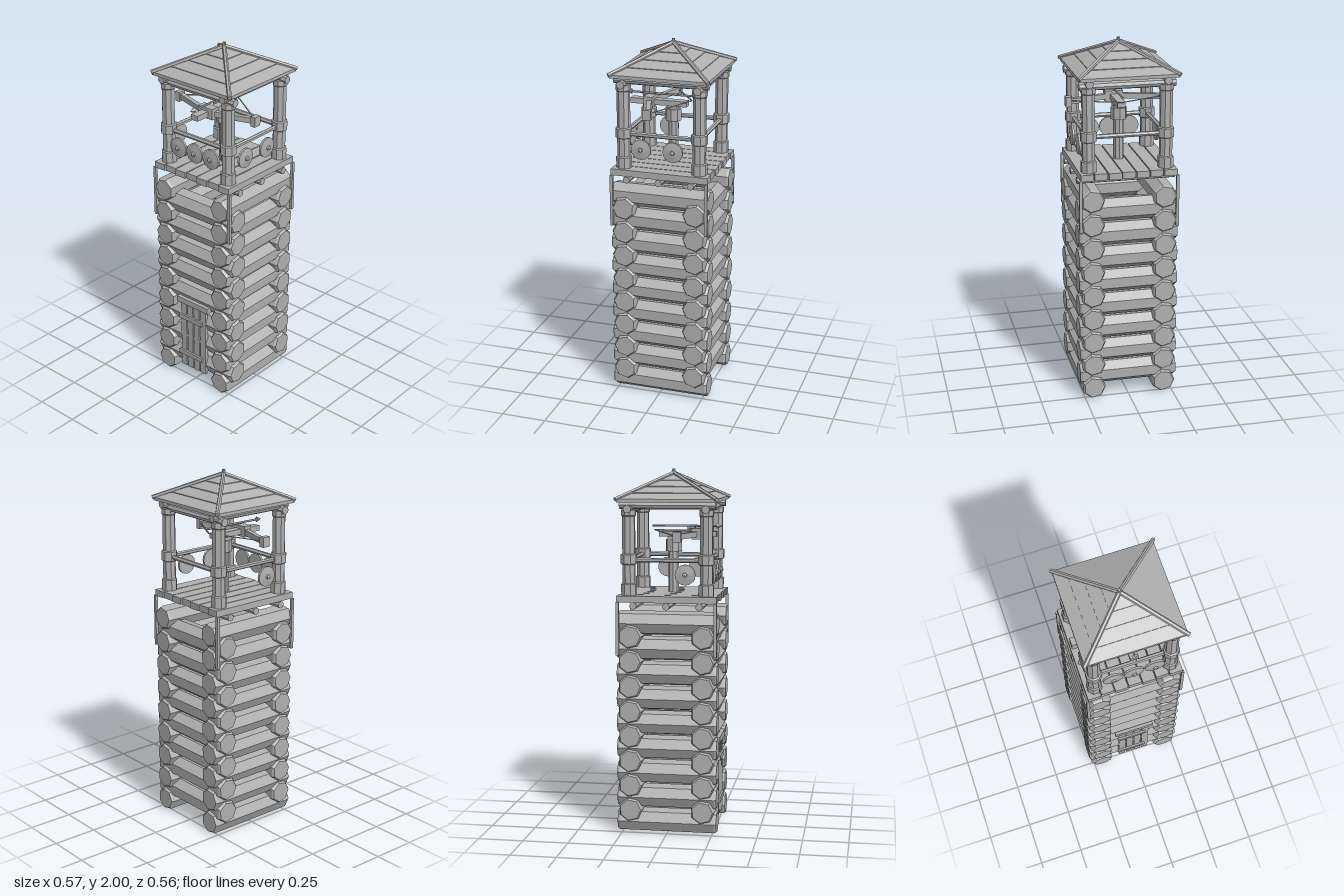
import * as THREE from 'three';

const wood = new THREE.MeshStandardMaterial({ color: 0xb0b0b0, flatShading: true, side: THREE.DoubleSide });
wood.name = 'grey wood';

function add(parent, name, geometry, x = 0, y = 0, z = 0) {
  const m = new THREE.Mesh(geometry, wood);
  m.name = name;
  m.position.set(x, y, z);
  parent.add(m);
  return m;
}
const box = (p, name, w, h, d, x, y, z) => add(p, name, new THREE.BoxGeometry(w, h, d), x, y, z);

// Straight bar between two points
function bar(p, name, a, b, r, sides = 6) {
  const A = new THREE.Vector3(...a), B = new THREE.Vector3(...b);
  const m = add(p, name, new THREE.CylinderGeometry(r, r, A.distanceTo(B), sides));
  m.position.copy(A).add(B).multiplyScalar(0.5);
  m.quaternion.setFromUnitVectors(new THREE.Vector3(0, 1, 0), B.sub(A).normalize());
  return m;
}

// Log with chamfered ends, lying along z
function logGeometry(r, length, sides) {
  const h = length / 2;
  const pts = [[0, -h], [r - 0.008, -h], [r, -h + 0.012], [r, h - 0.012], [r - 0.008, h], [0, h]];
  return new THREE.LatheGeometry(pts.map(q => new THREE.Vector2(...q)), sides).rotateX(Math.PI / 2);
}

function buildWalls(g) {
  const walls = new THREE.Group();
  walls.name = 'logWalls';
  const alongZ = logGeometry(0.067, 0.55, 7).rotateZ(0.2);
  const alongX = alongZ.clone().rotateY(Math.PI / 2);
  const step = 0.138;
  for (const s of [-1, 1]) {
    for (let i = 0; i < 9; i++) add(walls, 'sideLog', alongZ, s * 0.2, 0.068 + i * step, 0);
    for (let i = 0; i < 8; i++) add(walls, 'frontBackLog', alongX, 0, 0.137 + i * step, s * 0.2);
  }
  g.add(walls);
}

function buildDoor(g) {
  const door = new THREE.Group();
  door.name = 'door';
  for (let i = 0; i < 4; i++) box(door, 'doorPlank', 0.04, 0.42, 0.02, -0.072 + i * 0.048, 0.285, 0.258);
  for (const y of [0.165, 0.405]) box(door, 'doorCrossbar', 0.17, 0.026, 0.014, -0.015, y, 0.272);
  box(door, 'lintel', 0.23, 0.034, 0.04, 0, 0.512, 0.258);
  g.add(door);
}

function buildPlatform(g) {
  const deck = new THREE.Group();
  deck.name = 'platform';
  for (let i = 0; i < 7; i++) {
    box(deck, 'deckPlank', 0.071, 0.036, 0.545 - (i % 2) * 0.012, (i - 3) * 0.0765, 1.306, 0);
  }
  for (const z of [-0.18, 0, 0.18]) bar(deck, 'deckBeam', [-0.272, 1.27, z], [0.272, 1.27, z], 0.02, 8);
  // Thin corner struts hanging below the deck
  for (const x of [-0.267, 0.267]) for (const z of [-0.267, 0.267]) {
    box(deck, 'cornerStrut', 0.016, 0.29, 0.016, x, 1.145, z);
  }
  g.add(deck);
}

function buildFrame(g) {
  const frame = new THREE.Group();
  frame.name = 'upperFrame';
  const profile = [[0, 1.325], [0.043, 1.325], [0.043, 1.385], [0.036, 1.39], [0.036, 1.49], [0.045, 1.495],
    [0.045, 1.545], [0.036, 1.55], [0.036, 1.75], [0.041, 1.755], [0.041, 1.785], [0, 1.785]];
  const post = new THREE.LatheGeometry(profile.map(q => new THREE.Vector2(...q)), 8, Math.PI / 8);
  const p = 0.212;
  for (const s of [-1, 1]) {
    for (const t of [-1, 1]) add(frame, 'cornerPost', post, s * p, 0, t * p);
    bar(frame, 'railFrontBack', [-p, 1.515, s * p], [p, 1.515, s * p], 0.013);
    bar(frame, 'railSide', [s * p, 1.515, -p], [s * p, 1.515, p], 0.013);
    bar(frame, 'topBeamSide', [s * p, 1.81, -0.262], [s * p, 1.81, 0.262], 0.022, 8);
    bar(frame, 'topBeamFrontBack', [-0.262, 1.79, s * p], [0.262, 1.79, s * p], 0.022, 8);
  }
  g.add(frame);
}

function buildShields(g) {
  // x, z and turn of each round shield hung on the rails
  const places = [[-0.115, 0.24, 0], [0, 0.24, 0], [0.115, 0.24, 0],
    [0.24, 0.106, Math.PI / 2], [0.24, -0.072, Math.PI / 2], [-0.24, 0.1, -Math.PI / 2]];
  const disc = [[0, -0.008], [0.056, -0.008], [0.056, 0.004], [0.013, 0.01], [0.011, 0.019], [0, 0.024]];
  const geo = new THREE.LatheGeometry(disc.map(q => new THREE.Vector2(...q)), 16).rotateX(Math.PI / 2);
  for (const [x, z, turn] of places) add(g, 'roundShield', geo, x, 1.44, z).rotation.y = turn;
}

function buildBallista(g) {
  const b = new THREE.Group();
  b.name = 'ballista';
  bar(b, 'pedestal', [0, 1.32, 0], [0, 1.56, 0], 0.029, 8);
  bar(b, 'pedestalHead', [0, 1.55, 0], [0, 1.615, 0], 0.045, 8);
  box(b, 'swivel', 0.06, 0.02, 0.06, 0, 1.622, 0);
  box(b, 'stock', 0.045, 0.03, 0.32, 0, 1.645, 0.08);
  box(b, 'bowBlock', 0.1, 0.06, 0.05, 0, 1.648, 0.13);
  for (const s of [-1, 1]) {
    const limb = box(b, 'bowLimb', 0.24, 0.03, 0.026, s * 0.15, 1.645, 0.092);
    limb.rotation.y = s * 0.3;
    box(b, 'limbTip', 0.03, 0.055, 0.045, s * 0.267, 1.645, 0.06);
    bar(b, 'bowString', [s * 0.265, 1.648, 0.055], [0, 1.665, -0.105], 0.004, 4);
  }
  bar(b, 'bolt', [0, 1.69, -0.12], [0, 1.69, 0.24], 0.006, 5);
  const tip = add(b, 'boltTip', new THREE.ConeGeometry(0.016, 0.035, 4), 0, 1.69, 0.255);
  tip.rotation.x = Math.PI / 2;
  g.add(b);
}

function buildRoof(g) {
  const roof = new THREE.Group();
  roof.name = 'roof';
  const edges = [0.27, 0.205, 0.14, 0.075, 0.002];
  const height = half => 1.84 + (0.27 - half) * 0.5;
  const d = Math.SQRT2;
  // Overlapping rings of boards, each with a small lip
  for (let i = 0; i < 4; i++) {
    const a = edges[i], c = edges[i + 1];
    const pts = [[c, height(c) - 0.014], [a, height(a) - 0.014], [a, height(a) + 0.004], [c, height(c)]];
    add(roof, 'roofBoards', new THREE.LatheGeometry(
      pts.map(([r, y]) => new THREE.Vector2(r * d, y)), 4, Math.PI / 4));
  }
  for (const s of [-1, 1]) for (const t of [-1, 1]) {
    bar(roof, 'hipRidge', [s * 0.274, 1.842, t * 0.274], [0, 1.979, 0], 0.012, 6);
  }
  add(roof, 'apexKnob', new THREE.CylinderGeometry(0.008, 0.014, 0.03, 8), 0, 1.985, 0);
  g.add(roof);
}

export function createModel() {
  const g = new THREE.Group();
  g.name = 'watchtower';
  for (const build of [buildWalls, buildDoor, buildPlatform, buildFrame, buildShields, buildBallista, buildRoof]) build(g);
  return g;
}
